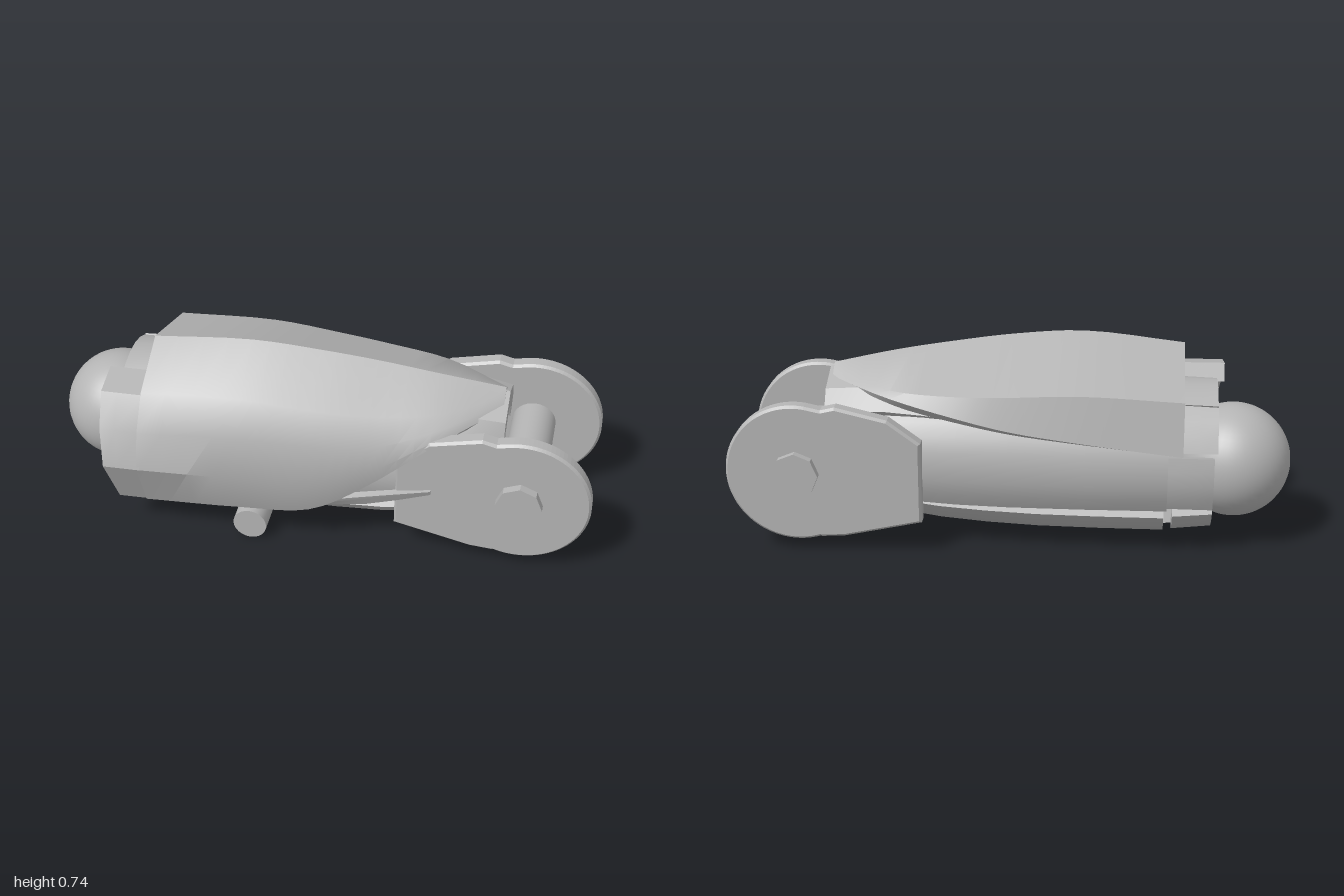
import * as THREE from 'three';
import { toCreasedNormals } from 'three/addons/utils/BufferGeometryUtils.js';

const CY = 0.31, CZ = -0.04; // long axis of the limb

export function createModel() {
  const group = new THREE.Group();
  const grey = new THREE.MeshStandardMaterial({ color: 0xb4b4b4 });

  const add = (name, geometry, x = 0, y = 0, z = 0) => {
    const mesh = new THREE.Mesh(geometry, grey);
    mesh.name = name;
    mesh.position.set(x, y, z);
    group.add(mesh);
    return mesh;
  };

  // Thick open shell lofted along x. Stations: { x, pts: [[z, y, dx?], ...] },
  // points running from the front over the top to the back.
  const shell = (name, stations, thick, sub = 4, crease = 0.55) => {
    const n = stations[0].pts.length;
    const rails = [];
    for (let j = 0; j < n; j++) {
      const curve = new THREE.CatmullRomCurve3(stations.map(s =>
        new THREE.Vector3(s.x + (s.pts[j][2] || 0), s.pts[j][1], s.pts[j][0])));
      rails.push(curve.getPoints((stations.length - 1) * sub));
    }
    const rows = rails[0].length, ring = 2 * n, pos = [], idx = [];
    for (let i = 0; i < rows; i++) {
      const outer = rails.map(r => r[i]);
      const inner = outer.map(p => {
        const d = new THREE.Vector3(0, CY - p.y, CZ - p.z).normalize();
        return p.clone().addScaledVector(d, thick);
      }).reverse();
      [...outer, ...inner].forEach(p => pos.push(p.x, p.y, p.z));
    }
    for (let i = 0; i < rows - 1; i++) {
      for (let j = 0; j < ring; j++) {
        const k = (j + 1) % ring;
        const a = i * ring + j, b = i * ring + k, c = b + ring, d = a + ring;
        idx.push(a, d, c, a, c, b);
      }
    }
    const end = (rows - 1) * ring;
    for (let j = 0; j < n - 1; j++) {
      const a = j, b = j + 1, c = ring - 2 - j, d = ring - 1 - j;
      idx.push(a, b, c, a, c, d);
      idx.push(end + a, end + c, end + b, end + a, end + d, end + c);
    }
    const geo = new THREE.BufferGeometry();
    geo.setAttribute('position', new THREE.Float32BufferAttribute(pos, 3));
    geo.setIndex(idx);
    return add(name, toCreasedNormals(geo, crease));
  };

  // Curved panel around the long axis; degrees from the front, upwards. Stations: [x, radius]
  const panel = (name, a0, a1, stations, thick) => {
    const steps = Math.max(2, Math.round((a1 - a0) / 12));
    return shell(name, stations.map(([x, r]) => {
      const pts = [];
      for (let i = 0; i <= steps; i++) {
        const a = THREE.MathUtils.degToRad(a0 + (a1 - a0) * i / steps);
        pts.push([CZ + r * Math.cos(a), CY + r * Math.sin(a)]);
      }
      return { x, pts };
    }), thick, 2);
  };

  // Ball joint
  add('ballJoint', new THREE.SphereGeometry(0.205, 40, 28), -0.795, 0.3, -0.065);

  // Large ridged cover, narrowing to a point
  shell('upperCover', [
    { x: -0.61, pts: [[0.275, 0.13], [0.355, 0.33], [0.32, 0.47], [0.24, 0.59], [0.04, 0.70], [-0.29, 0.585], [-0.33, 0.40]] },
    { x: -0.25, pts: [[0.27, 0.15], [0.33, 0.33], [0.30, 0.49], [0.235, 0.61], [0.04, 0.735], [-0.295, 0.60], [-0.33, 0.44]] },
    { x: 0.0, pts: [[0.265, 0.18], [0.305, 0.32], [0.28, 0.48], [0.22, 0.59], [0.03, 0.72], [-0.285, 0.585], [-0.315, 0.47]] },
    { x: 0.2, pts: [[0.255, 0.31], [0.268, 0.38], [0.25, 0.48], [0.19, 0.575], [0.015, 0.695], [-0.265, 0.575], [-0.295, 0.51]] },
    { x: 0.42, pts: [[0.205, 0.48], [0.2, 0.50], [0.18, 0.53], [0.13, 0.575], [0, 0.66], [-0.215, 0.575], [-0.235, 0.55]] },
    { x: 0.65, pts: [[0.03, 0.565], [0.025, 0.57], [0.015, 0.58], [0.0, 0.595], [-0.03, 0.615], [-0.06, 0.595], [-0.08, 0.575]] },
  ], 0.05);

  // Front shoulder, carrying the cover on towards the ball
  const shoulder = [[0.275, 0.13], [0.36, 0.33], [0.32, 0.47], [0.24, 0.575], [0.12, 0.6]];
  shell('frontShoulder', [
    { x: -0.76, pts: shoulder.map(([z, y]) => [z, y, (0.6 - y) * 0.1]) },
    { x: -0.60, pts: shoulder.map(([z, y]) => [z - 0.005, y]) },
  ], 0.07, 2);

  // Collar blocks around the ball
  panel('topCollar', 58, 122, [[-0.73, 0.27], [-0.58, 0.275]], 0.07);
  panel('backUpperCollar', 124, 160, [[-0.73, 0.275], [-0.56, 0.285]], 0.07);
  panel('backCollar', 164, 210, [[-0.72, 0.26], [-0.56, 0.26]], 0.06);
  panel('backLowerCollar', 214, 252, [[-0.72, 0.265], [-0.58, 0.28]], 0.05);
  panel('lowerCollar', 254, 322, [[-0.72, 0.25], [-0.43, 0.272]], 0.05);

  // Hollow core and its long panels
  panel('frontCore', -22, 60, [[-0.6, 0.25], [0, 0.25], [0.45, 0.235], [0.62, 0.2]], 0.05);
  panel('backCore', 130, 212, [[-0.56, 0.265], [0, 0.27], [0.35, 0.255], [0.6, 0.215]], 0.05);
  panel('backLowerStrip', 215, 256, [[-0.55, 0.285], [-0.1, 0.285], [0.25, 0.265], [0.45, 0.235]], 0.04);
  panel('keel', 259, 277, [[-0.5, 0.275], [-0.1, 0.282], [0.2, 0.27], [0.45, 0.22]], 0.07);
  panel('frontLowerStrip', 280, 328, [[-0.42, 0.27], [-0.1, 0.278], [0.25, 0.265], [0.48, 0.23]], 0.04);

  // Roof lining below the point of the cover
  shell('roofLining', [
    { x: 0.15, pts: [[0.19, 0.46], [0.12, 0.57], [-0.01, 0.64], [-0.2, 0.56], [-0.25, 0.48]] },
    { x: 0.45, pts: [[0.16, 0.48], [0.1, 0.56], [-0.02, 0.625], [-0.17, 0.57], [-0.23, 0.5]] },
    { x: 0.665, pts: [[0.11, 0.45], [0.08, 0.54], [-0.03, 0.6], [-0.14, 0.55], [-0.19, 0.47]] },
  ], 0.08, 2, 0.4);

  // Thin blade below the slanted edge of the cover
  shell('sideBlade', [
    { x: -0.05, pts: [[0.215, 0.155], [0.235, 0.17], [0.24, 0.185]] },
    { x: 0.2, pts: [[0.215, 0.2], [0.23, 0.235], [0.235, 0.25]] },
    { x: 0.43, pts: [[0.212, 0.28], [0.216, 0.29], [0.22, 0.3]] },
  ], 0.025, 2);

  // Pair of hinge plates
  const outline = new THREE.Shape();
  outline.moveTo(0.31, 0.13);
  outline.lineTo(0.58, 0.07);
  outline.lineTo(0.66, 0.065);
  outline.absarc(0.745, 0.297, 0.243, -1.9, 1.72, false);
  outline.lineTo(0.65, 0.525);
  outline.lineTo(0.6, 0.537);
  outline.lineTo(0.42, 0.495);
  outline.lineTo(0.31, 0.415);
  outline.closePath();
  const plate = new THREE.ExtrudeGeometry(outline, {
    depth: 0.04, curveSegments: 28, bevelEnabled: true,
    bevelThickness: 0.009, bevelSize: 0.009, bevelSegments: 1,
  });
  add('frontHingePlate', plate, 0, 0, 0.16);
  add('backHingePlate', plate, 0, 0, -0.325);

  // Hinge pin with faceted heads
  const rod = (name, r, z0, z1, sides, x, y) => {
    const geo = new THREE.CylinderGeometry(r, r, z1 - z0, sides).rotateX(Math.PI / 2);
    return add(name, toCreasedNormals(geo, 0.5), x, y, (z0 + z1) / 2);
  };
  rod('hingePin', 0.081, -0.32, 0.2, 32, 0.745, 0.297);
  rod('frontPinHead', 0.083, 0.19, 0.24, 8, 0.745, 0.297);
  rod('backPinHead', 0.083, -0.362, -0.31, 8, 0.745, 0.297);

  // Small knob under the front edge
  rod('knob', 0.062, 0.14, 0.257, 24, -0.225, 0.062);

  return group;
}
